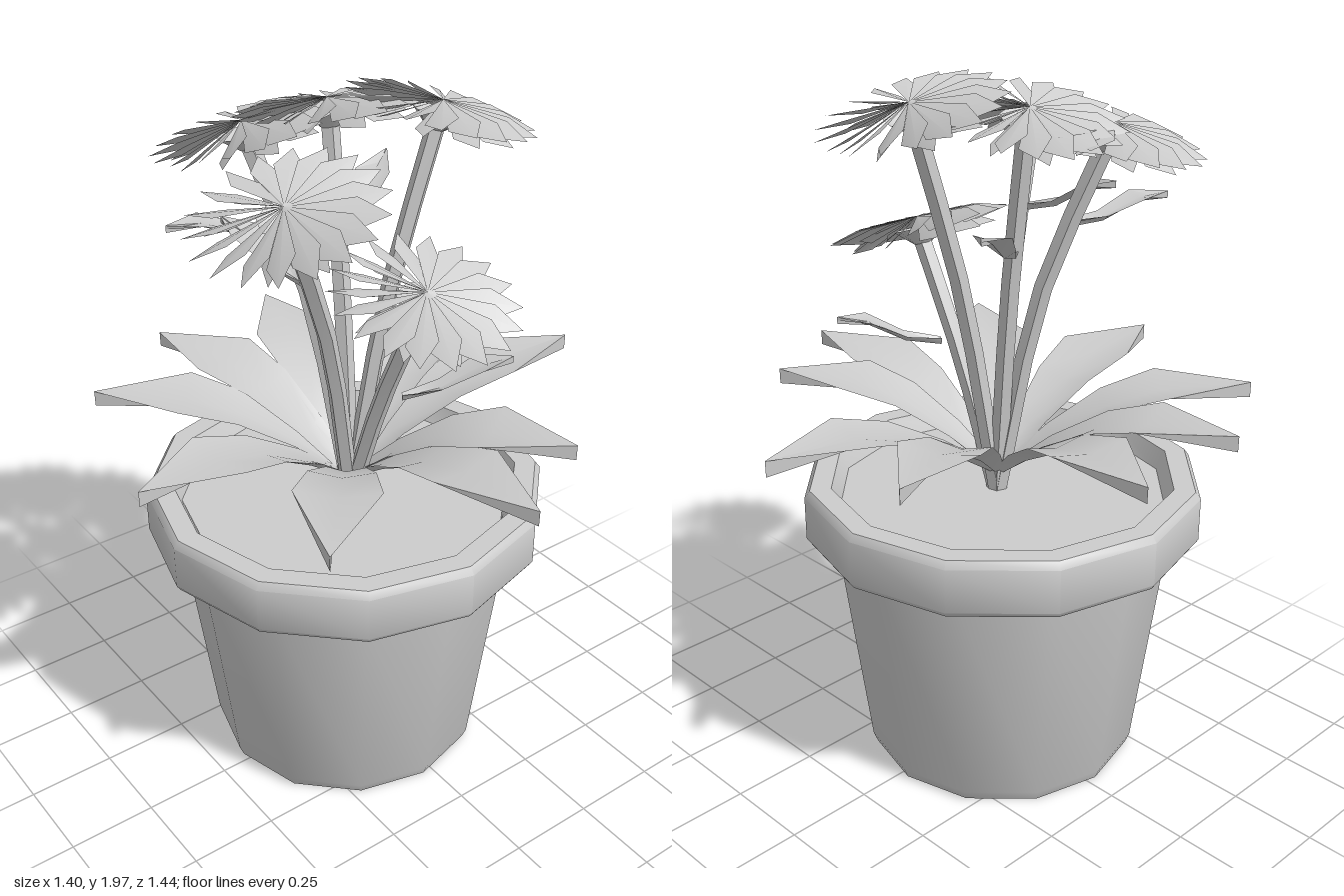
import * as THREE from 'three';
import { mergeGeometries, toCreasedNormals } from 'three/addons/utils/BufferGeometryUtils.js';

const V = (x, y, z) => new THREE.Vector3(x, y, z);
const UP = V(0, 1, 0);
const grey = new THREE.MeshStandardMaterial({ color: 0xcccccc, side: THREE.DoubleSide });
grey.name = 'plain grey';

function part(name, geometry, crease = 0.7) {
  const mesh = new THREE.Mesh(toCreasedNormals(geometry, crease), grey);
  mesh.name = name;
  return mesh;
}

function fromTriangles(points, index) {
  const g = new THREE.BufferGeometry();
  g.setAttribute('position', new THREE.Float32BufferAttribute(points.flatMap(p => p.toArray()), 3));
  g.setIndex(index);
  g.computeVertexNormals();
  return g;
}

// Troughed leaf with a keel: sections are [centre, halfWidth, groove, keelDepth]
function leafGeometry(sections, direction) {
  const side = direction.clone().setY(0).normalize().cross(UP);
  const points = [], index = [];
  for (const [c, w, groove, keel] of sections) {
    points.push(
      c.clone().addScaledVector(side, -w),
      c.clone().addScaledVector(UP, -groove),
      c.clone().addScaledVector(side, w),
      c.clone().addScaledVector(UP, -keel));
  }
  for (let i = 0; i < sections.length - 1; i++) {
    for (let j = 0; j < 4; j++) {
      const a = i * 4 + j, b = i * 4 + (j + 1) % 4;
      index.push(a, b, b + 4, a, b + 4, a + 4);
    }
  }
  return fromTriangles(points, index);
}

// Rosette leaf arching from the crown to its tip
function rosetteLeaf(x, z) {
  const base = V(-0.02, 0, 0.02), tip = V(x, 0, z);
  const profile = [
    [0.03, 0.88, 0.025, 0.01, 0.02], [0.2, 0.975, 0.055, 0.015, 0.03],
    [0.42, 1.065, 0.09, 0.02, 0.035], [0.64, 1.11, 0.115, 0.02, 0.045],
    [1, 1.105, 0.001, 0, 0.045],
  ];
  const sections = profile.map(([t, y, w, groove, keel]) =>
    [base.clone().lerp(tip, t).setY(y), w, groove, keel]);
  return part('rosetteLeaf', leafGeometry(sections, tip.clone().sub(base)));
}

// Small pointed leaf growing from a stem
function stemLeaf(start, end) {
  const profile = [[0, 0.008, 0], [0.35, 0.03, -0.01], [0.7, 0.05, 0.015], [1, 0.001, 0]];
  const sections = profile.map(([t, w, lift]) => {
    const c = start.clone().lerp(end, t);
    c.y += lift;
    return [c, w, 0.01, 0.02];
  });
  return part('stemLeaf', leafGeometry(sections, end.clone().sub(start)));
}

// Ring of fan-like petals, each twisted about its own length
function petalRing(count, radius, width, lift, turn) {
  const points = [], index = [];
  for (let i = 0; i < count; i++) {
    const a = (i / count) * Math.PI * 2 + turn, n = points.length;
    const at = (r, s, y) => V(
      r * Math.cos(a) - s * Math.sin(a), y, r * Math.sin(a) + s * Math.cos(a));
    points.push(at(0, 0, 0.025), at(radius * 0.66, -width, 0.022 + lift * 0.6),
      at(radius, 0, lift), at(radius * 0.66, width, -0.016 + lift * 0.6));
    index.push(n, n + 2, n + 1, n, n + 3, n + 2);
  }
  return fromTriangles(points, index);
}

function flower(centre, normal) {
  const group = new THREE.Group();
  group.name = 'flower';
  group.add(part('petals', mergeGeometries([
    petalRing(18, 0.255, 0.038, 0, 0),
    petalRing(9, 0.21, 0.034, -0.035, 0.17),
  ])));
  const calyx = part('calyx', new THREE.CylinderGeometry(0.075, 0.025, 0.045, 8, 1, true));
  calyx.position.y = -0.028;
  group.add(calyx);
  group.position.copy(centre);
  group.quaternion.setFromUnitVectors(UP, normal.normalize());
  return group;
}

function stem(mid, end) {
  const curve = new THREE.CatmullRomCurve3([V(-0.015, 0.79, 0.02), mid, end]);
  return part('stem', new THREE.TubeGeometry(curve, 5, 0.026, 5), 0.5);
}

export function createModel() {
  const model = new THREE.Group();
  model.name = 'pottedFlowers';

  // Twelve-sided pot with a heavy rim and soil
  const pot = new THREE.Group();
  pot.name = 'pot';
  const profile = [
    [0, 0], [0.385, 0], [0.397, 0.03], [0.482, 0.7], [0.555, 0.7], [0.565, 0.715],
    [0.565, 0.84], [0.55, 0.86], [0.49, 0.86], [0.465, 0.8],
  ].map(([r, y]) => new THREE.Vector2(r, y));
  pot.add(part('potShell', new THREE.LatheGeometry(profile, 12)));
  const soil = part('soil', new THREE.CircleGeometry(0.466, 12).rotateX(-Math.PI / 2));
  soil.position.y = 0.805;
  pot.add(soil);
  pot.position.set(-0.025, 0, 0.03);
  model.add(pot);

  // Nine leaves around the crown
  const leafTips = [
    [0.06, -0.72], [-0.29, -0.585], [-0.7, -0.155], [-0.675, 0.24], [-0.475, 0.565],
    [0.04, 0.715], [0.545, 0.49], [0.7, -0.03], [0.535, -0.315],
  ];
  for (const [x, z] of leafTips) model.add(rosetteLeaf(x, z));

  // Five flowers: centre, facing direction, middle of the stem
  const flowers = [
    [V(0.05, 1.9, -0.22), V(0.05, 1, -0.28), V(0.02, 1.4, -0.08)],
    [V(0.275, 1.52, 0), V(0.33, 1, 0), V(0.11, 1.15, 0.01)],
    [V(0.16, 1.79, 0.33), V(0.12, 1, 0.32), V(0.07, 1.35, 0.15)],
    [V(-0.265, 1.84, 0.17), V(-0.22, 1, 0.16), V(-0.12, 1.4, 0.08)],
    [V(-0.16, 1.89, -0.02), V(-0.22, 1, -0.04), V(-0.08, 1.4, 0)],
  ];
  for (const [centre, normal, mid] of flowers) {
    model.add(flower(centre, normal));
    model.add(stem(mid, centre.clone().addScaledVector(normal, -0.03)));
  }

  // Small leaves part way up the stems
  model.add(stemLeaf(V(0.19, 1.21, 0), V(0.33, 1.3, -0.26)));
  model.add(stemLeaf(V(0.1, 1.57, 0.24), V(-0.17, 1.67, 0.31)));
  model.add(stemLeaf(V(-0.17, 1.6, 0.12), V(-0.26, 1.64, 0.42)));
  model.add(stemLeaf(V(-0.11, 1.53, -0.01), V(-0.3, 1.67, -0.32)));
  return model;
}
